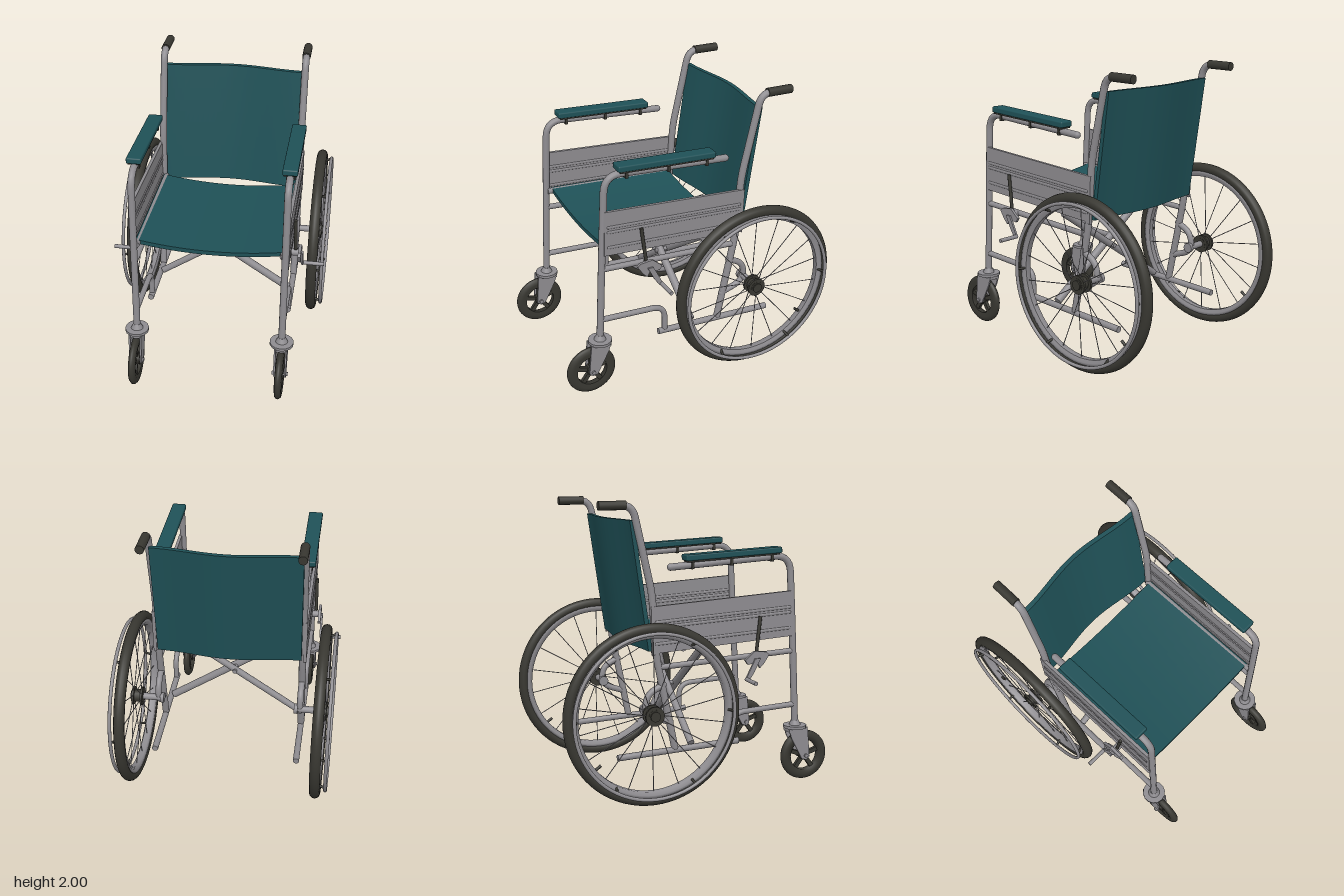
import * as THREE from 'three';
import { mergeGeometries } from 'three/addons/utils/BufferGeometryUtils.js';
import { RoundedBoxGeometry } from 'three/addons/geometries/RoundedBoxGeometry.js';

const material = (name, color) => {
  const m = new THREE.MeshStandardMaterial({ color });
  m.name = name;
  return m;
};
const V = (p) => new THREE.Vector3(...p);

export function createModel() {
  const root = new THREE.Group();
  root.name = 'wheelchair';
  const metal = material('grey metal', 0x8e8c90);
  const cloth = material('teal vinyl', 0x1f5157);
  const rubber = material('black rubber', 0x383731);

  const add = (name, geo, mat, parent = root) => {
    const mesh = new THREE.Mesh(geo, mat);
    mesh.name = name;
    parent.add(mesh);
    return mesh;
  };

  // Straight closed rod between two points
  const rodGeo = (a, b, r, sides = 14, r2 = r) => {
    const p = V(a), q = V(b), d = q.clone().sub(p);
    const geo = new THREE.CylinderGeometry(r2, r, d.length(), sides);
    geo.applyQuaternion(new THREE.Quaternion().setFromUnitVectors(new THREE.Vector3(0, 1, 0), d.normalize()));
    const c = p.add(q).multiplyScalar(0.5);
    return geo.translate(c.x, c.y, c.z);
  };
  const rod = (name, a, b, r, mat = metal, parent = root) => add(name, rodGeo(a, b, r), mat, parent);

  // Bent tube through corner points, each corner rounded
  const bentTube = (name, pts, r, bend, parent) => {
    const p = pts.map(V), path = new THREE.CurvePath();
    let last = p[0];
    for (let i = 1; i < p.length - 1; i++) {
      const toward = (q) => {
        const d = q.clone().sub(p[i]);
        return p[i].clone().add(d.setLength(Math.min(bend, d.length() * 0.48)));
      };
      const a = toward(p[i - 1]), b = toward(p[i + 1]);
      path.add(new THREE.LineCurve3(last, a));
      path.add(new THREE.QuadraticBezierCurve3(a, p[i], b));
      last = b;
    }
    path.add(new THREE.LineCurve3(last, p.at(-1)));
    const ends = [p[0], p.at(-1)].map((e) => new THREE.SphereGeometry(r, 12, 8).translate(e.x, e.y, e.z));
    return add(name, mergeGeometries([new THREE.TubeGeometry(path, 80, r, 12), ...ends]), metal, parent);
  };

  // Flat plate from [z, y] corners, with its thickness along x
  const plate = (name, corners, x, t, mat, parent) => {
    const shape = new THREE.Shape(corners.map(([z, y]) => new THREE.Vector2(z, y)));
    const geo = new THREE.ExtrudeGeometry(shape, { depth: t, bevelEnabled: false });
    geo.rotateY(-Math.PI / 2).translate(x + t / 2, 0, 0);
    return add(name, geo, mat, parent);
  };

  // Ring of revolution about the x axis from [radius, x] points, inner face first from +x to -x
  const ring = (name, profile, mat, parent, sides = 64) =>
    add(name, new THREE.LatheGeometry(profile.map(([r, x]) => new THREE.Vector2(r, x)), sides).rotateZ(-Math.PI / 2), mat, parent);
  const torus = (name, R, r, mat, parent) =>
    add(name, new THREE.TorusGeometry(R, r, 14, 72).rotateY(Math.PI / 2), mat, parent);

  // Sling cloth: a box whose vertices follow a rule
  const sling = (name, size, segments, rule) => {
    const geo = new THREE.BoxGeometry(...size, ...segments);
    const pos = geo.attributes.position;
    for (let i = 0; i < pos.count; i++) {
      pos.setXYZ(i, ...rule(pos.getX(i), pos.getY(i), pos.getZ(i)));
    }
    geo.computeVertexNormals();
    add(name, geo, cloth);
  };
  sling('seat', [1.0, 0.03, 0.945], [28, 1, 8], (x, y, z) =>
    [x, y + 1.09 + 0.05 * (z - 0.47) - 0.045 * (1 - 4 * x * x), z + 0.193]);
  sling('backrest', [1.0, 0.865, 0.03], [28, 10, 1], (x, y, z) =>
    [x, y + 1.4425, z - 0.4 - 0.145 * y - 0.025 * (1 + Math.cos(2 * Math.PI * x))]);

  // Folding cross brace
  rod('crossBraceFront', [-0.48, 1.0, 0.03], [0.48, 0.35, 0.03], 0.028);
  rod('crossBraceRear', [0.48, 1.0, -0.04], [-0.48, 0.35, -0.04], 0.024);
  rod('crossBracePivot', [0, 0.675, 0.07], [0, 0.675, -0.075], 0.016);

  for (const s of [1, -1]) {
    const side = new THREE.Group();
    side.name = s > 0 ? 'leftSide' : 'rightSide';
    root.add(side);
    const x = s * 0.505;

    // Frame tubes
    bentTube('frontPostAndArm', [[x, 0.41, 0.74], [x, 1.1, 0.705], [x, 1.62, 0.675], [x, 1.565, -0.2]], 0.024, 0.12, side);
    bentTube('backPost', [[x, 0.34, -0.17], [x, 0.97, -0.3], [x, 1.4, -0.33], [x, 1.97, -0.46], [x, 1.97, -0.6]], 0.025, 0.08, side);
    rod('pushHandleGrip', [x, 1.972, -0.505], [x, 1.97, -0.69], 0.03, rubber, side);
    rod('seatRail', [s * 0.488, 1.085, 0.7], [s * 0.488, 1.037, -0.3], 0.021, metal, side);
    rod('middleRail', [x, 0.95, 0.71], [x, 0.9, -0.28], 0.02, metal, side);
    rod('lowerRail', [x, 0.343, 0.3], [x, 0.305, -0.575], 0.022, metal, side);
    bentTube('frontBrace', [[x, 0.565, 0.73], [x, 0.54, 0.25], [x, 0.34, 0.25]], 0.02, 0.1, side);
    bentTube('axleBracket', [[x, 0.78, -0.25], [x, 0.72, -0.37], [x, 0.58, -0.38], [x, 0.52, -0.2]], 0.022, 0.1, side);

    // Side panel with pressed ribs
    const px = s * 0.522;
    plate('sidePanel', [[0.7, 1.06], [0.69, 1.375], [-0.29, 1.315], [-0.345, 1.31], [-0.335, 0.985], [-0.3, 1.0]], px, 0.022, metal, side);
    for (const y of [1.235, 1.2, 1.09]) {
      const rib = add('panelRib', new RoundedBoxGeometry(0.03, 0.024, 1.0, 3, 0.01), metal, side);
      rib.position.set(px, y, 0.18);
      rib.rotation.x = -0.055;
    }

    // Armrest
    const pad = add('armrestPad', new RoundedBoxGeometry(0.1, 0.042, 0.7, 3, 0.01), cloth, side);
    pad.position.set(x, 1.642, 0.245);
    pad.rotation.x = -0.05;
    const base = add('armrestBase', new THREE.BoxGeometry(0.084, 0.012, 0.67), rubber, side);
    base.position.set(x, 1.617, 0.245);
    base.rotation.x = -0.05;
    for (const z of [0.53, 0.23, -0.05]) {
      add('armrestClip', new THREE.BoxGeometry(0.056, 0.06, 0.02), rubber, side).position.set(x, 1.594 + 0.055 * (z - 0.23), z);
    }

    // Parking brake
    rod('brakePivot', [s * 0.505, 0.93, 0.4], [s * 0.59, 0.93, 0.4], 0.025, metal, side);
    plate('brakePlate', [[0.49, 0.95], [0.47, 0.97], [0.38, 0.98], [0.31, 0.92], [0.33, 0.89], [0.4, 0.9], [0.42, 0.86], [0.45, 0.89]], s * 0.58, 0.02, metal, side);
    plate('brakeShoeArm', [[0.42, 0.93], [0.38, 0.93], [0.34, 0.85], [0.31, 0.79], [0.335, 0.78], [0.375, 0.84]], s * 0.595, 0.015, metal, side);
    rod('brakeShoe', [s * 0.59, 0.79, 0.32], [s * 0.745, 0.79, 0.32], 0.014, metal, side);
    rod('brakeLever', [s * 0.55, 0.96, 0.41], [s * 0.545, 1.21, 0.44], 0.012, rubber, side);

    // Drive wheel
    const wheel = new THREE.Group();
    wheel.name = 'driveWheel';
    wheel.position.set(s * 0.655, 0.615, -0.375);
    side.add(wheel);
    torus('tyre', 0.573, 0.037, rubber, wheel);
    ring('rim', [[0.512, 0.02], [0.512, -0.02], [0.535, -0.03], [0.553, -0.03], [0.553, 0.03], [0.535, 0.03], [0.512, 0.02]], metal, wheel, 72);
    torus('handRim', 0.55, 0.012, metal, wheel).position.x = s * 0.07;
    const polar = (along, r, a) => [along, r * Math.cos(a), r * Math.sin(a)];
    const spokes = [], clips = [];
    for (let i = 0; i < 18; i++) {
      const a = (i * Math.PI) / 9;
      spokes.push(rodGeo(polar((i % 2 ? 1 : -1) * 0.03, 0.04, a), polar(0, 0.516, a), 0.003, 6));
    }
    for (let i = 0; i < 6; i++) {
      const a = ((i + 0.5) * Math.PI) / 3;
      clips.push(rodGeo(polar(s * 0.02, 0.525, a), polar(s * 0.068, 0.545, a), 0.009, 8));
    }
    add('spokes', mergeGeometries(spokes), metal, wheel);
    add('handRimClips', mergeGeometries(clips), rubber, wheel);
    rod('hub', [-0.04, 0, 0], [0.04, 0, 0], 0.045, rubber, wheel);
    for (const o of [-0.03, 0.03]) rod('hubFlange', [o - 0.008, 0, 0], [o + 0.008, 0, 0], 0.066, rubber, wheel);
    rod('hubCap', [s * 0.035, 0, 0], [s * 0.05, 0, 0], 0.034, rubber, wheel);
    rod('axle', [s * -0.035, 0, 0], [s * -0.17, 0, 0], 0.024, metal, wheel);
    rod('axleNut', [s * -0.165, 0, 0], [s * -0.19, 0, 0], 0.036, metal, wheel);
    rod('valve', [0, -0.33, -0.4], [0, -0.3, -0.36], 0.01, rubber, wheel);

    // Front caster fork
    rod('casterDisc', [x, 0.395, 0.74], [x, 0.415, 0.74], 0.082, metal, side);
    add('casterCollar', rodGeo([x, 0.415, 0.74], [x, 0.45, 0.737], 0.042, 18, 0.026), metal, side);
    add('forkCrown', new THREE.BoxGeometry(0.09, 0.03, 0.13), metal, side).position.set(x, 0.385, 0.742);
    for (const o of [-0.038, 0.038]) {
      plate('forkLeg', [[0.82, 0.4], [0.672, 0.4], [0.695, 0.33], [0.78, 0.17], [0.815, 0.16], [0.84, 0.18], [0.835, 0.25]], x + o, 0.012, metal, side);
    }
    rod('casterAxle', [x - 0.055, 0.19, 0.812], [x + 0.055, 0.19, 0.812], 0.014, metal, side);

    // Front caster wheel with five spokes
    const caster = new THREE.Group();
    caster.name = 'casterWheel';
    caster.position.set(x, 0.19, 0.812);
    side.add(caster);
    ring('casterTyre', [[0.108, 0.02], [0.108, -0.02], [0.14, -0.026], [0.162, -0.022], [0.175, -0.01], [0.177, 0], [0.175, 0.01], [0.162, 0.022], [0.14, 0.026], [0.108, 0.02]], rubber, caster, 48);
    rod('casterHub', [-0.026, 0, 0], [0.026, 0, 0], 0.036, rubber, caster);
    for (let i = 0; i < 5; i++) {
      const a = (i * Math.PI * 2) / 5;
      const spoke = add('casterSpoke', new THREE.BoxGeometry(0.026, 0.1, 0.03), rubber, caster);
      spoke.position.set(...polar(0, 0.07, a));
      spoke.rotation.x = a;
    }
  }
  return root;
}
